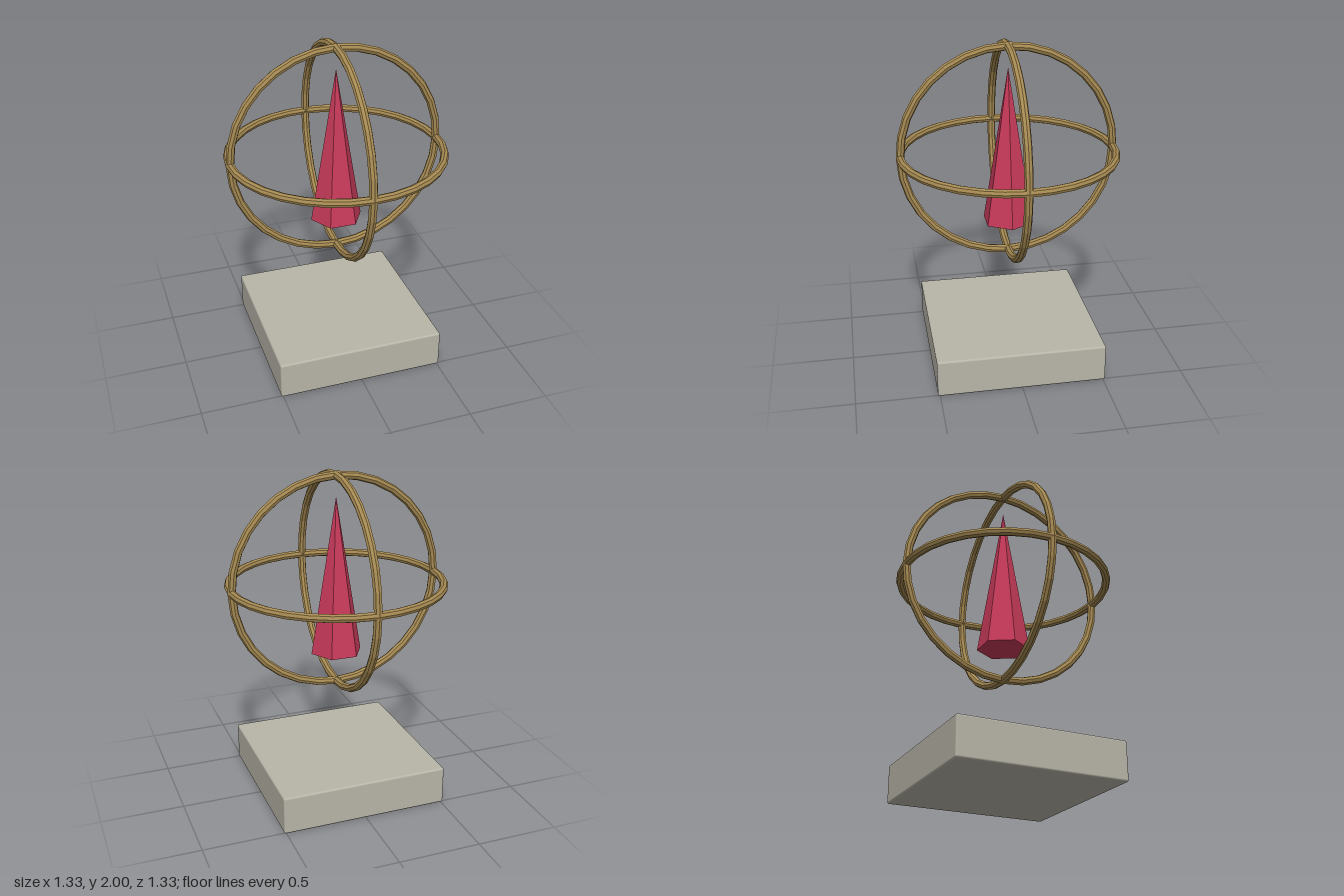
import * as THREE from 'three';
import { RoundedBoxGeometry } from 'three/addons/geometries/RoundedBoxGeometry.js';

const CENTER_Y = 1.333;

export function createModel() {
  const model = new THREE.Group();
  model.name = 'armillaryOrnament';

  const stone = new THREE.MeshStandardMaterial({ color: 0xb8b5a8 });
  const brass = new THREE.MeshStandardMaterial({ color: 0xa68a52, flatShading: true });
  const crystalRed = new THREE.MeshStandardMaterial({ color: 0xc83a5a, flatShading: true });

  const add = (name, geometry, material, y) => {
    const mesh = new THREE.Mesh(geometry, material);
    mesh.name = name;
    mesh.position.y = y;
    model.add(mesh);
    return mesh;
  };

  // Square plinth with slightly softened edges
  add('base', new RoundedBoxGeometry(1.026, 0.235, 1.026, 2, 0.012), stone, 0.1175);

  // Three mutually perpendicular faceted rings
  const ring = new THREE.TorusGeometry(0.642, 0.025, 8, 32);
  add('frontRing', ring, brass, CENTER_Y);
  add('sideRing', ring, brass, CENTER_Y).rotation.y = Math.PI / 2;
  add('levelRing', ring, brass, CENTER_Y).rotation.x = Math.PI / 2;

  // Six-sided spike floating inside the rings, corners on the x axis
  const bottom = 0.89, tip = 1.85;
  const spike = new THREE.ConeGeometry(0.16, tip - bottom, 6).rotateY(Math.PI / 2);
  add('spike', spike, crystalRed, (bottom + tip) / 2);

  return model;
}
